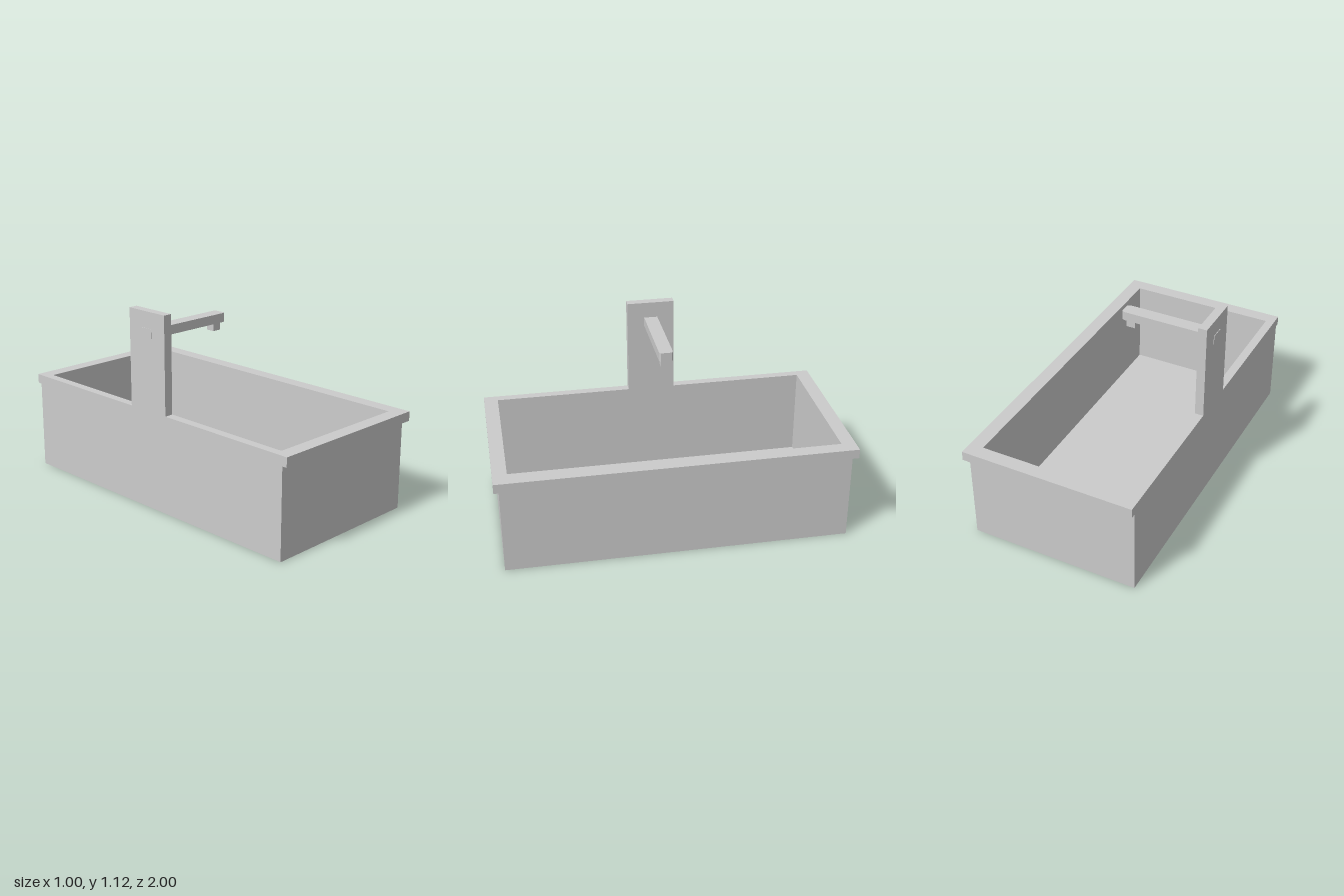
import * as THREE from 'three';

const material = new THREE.MeshStandardMaterial({ color: 0xcccccc, flatShading: true });

// Corners of a rectangle symmetric about z = 0
const rect = (x0, x1, z) => [[x0, -z], [x1, -z], [x1, z], [x0, z]].map(p => new THREE.Vector2(...p));

// Extrude a plan outline upward from y0 to y1
function slab(name, outline, y0, y1, hole) {
  const shape = new THREE.Shape(outline);
  if (hole) shape.holes.push(new THREE.Path(hole));
  const geometry = new THREE.ExtrudeGeometry(shape, { depth: y1 - y0, bevelEnabled: false });
  geometry.rotateX(-Math.PI / 2);
  const mesh = new THREE.Mesh(geometry, material);
  mesh.name = name;
  mesh.position.y = y0;
  return mesh;
}

export function createModel() {
  const model = new THREE.Group();
  model.name = 'basinWithTap';

  // Trough: floor, walls and overhanging rim, flush along the tap side
  const opening = rect(-0.45, 0.42, 0.92);
  const body = rect(-0.5, 0.475, 0.972);
  model.add(
    slab('basinFloor', body, 0, 0.05),
    slab('basinWalls', body, 0.05, 0.512, opening),
    slab('rim', rect(-0.5, 0.5, 1), 0.512, 0.566, opening)
  );

  // Tap: upright plate, spout with clipped end corners, square nozzle
  const tap = new THREE.Group();
  tap.name = 'tap';
  tap.position.z = -0.004;
  const spoutPlan = [[-0.503, -0.039], [0.035, -0.039], [0.05, -0.031], [0.05, 0.031], [0.035, 0.039], [-0.503, 0.039]]
    .map(p => new THREE.Vector2(...p));
  tap.add(
    slab('tapPlate', rect(-0.5, -0.45, 0.137), 0.566, 1.12),
    slab('spout', spoutPlan, 0.976, 1.028),
    slab('nozzle', rect(-0.026, 0.026, 0.026), 0.932, 0.976)
  );
  model.add(tap);
  return model;
}
